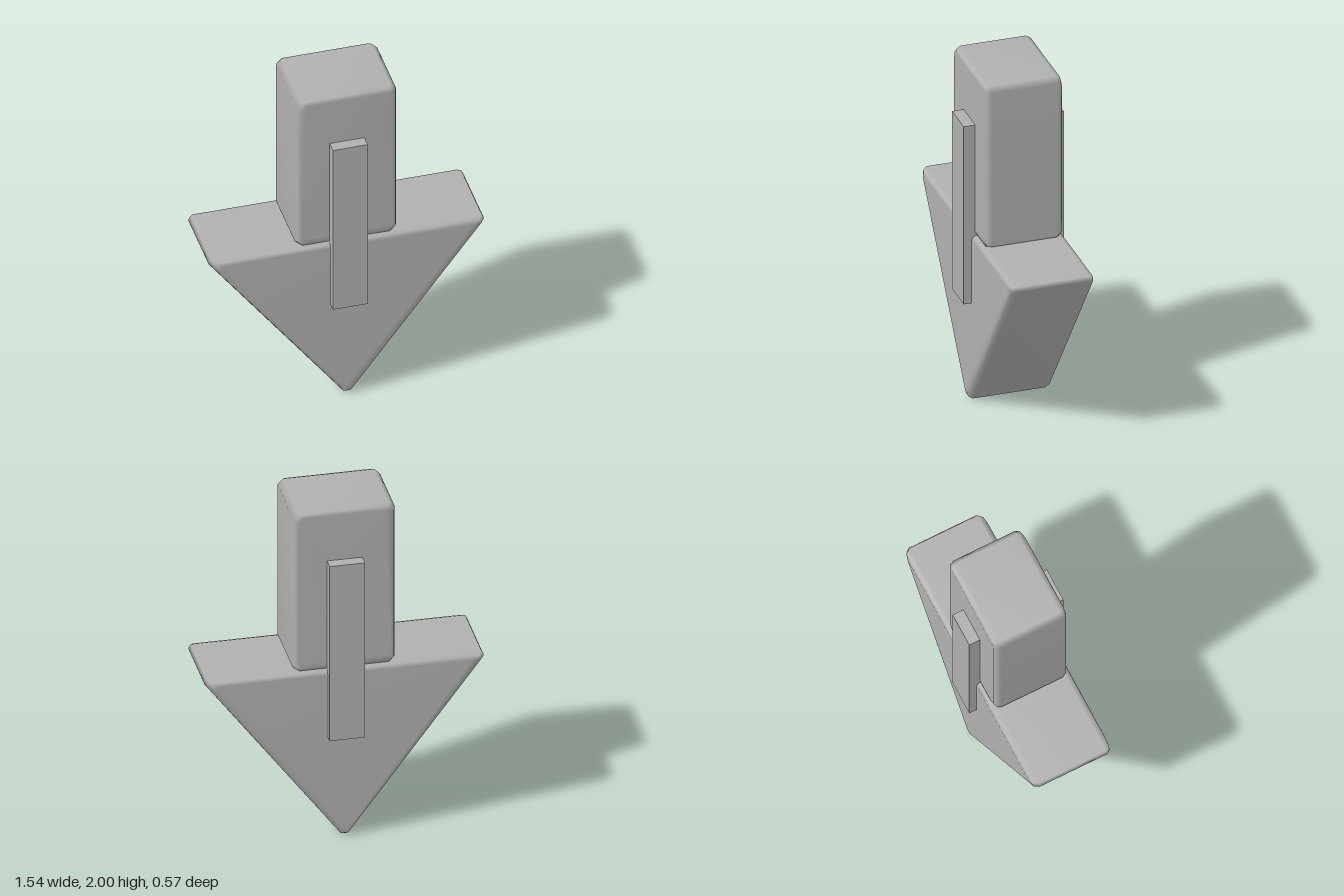
import * as THREE from 'three';

// Replaces each corner of an outline with a short cut of length c along both sides
function cutCorners(points, c) {
  const out = [];
  points.forEach((p, i) => {
    for (const q of [points.at(i - 1), points[(i + 1) % points.length]]) {
      const a = new THREE.Vector2(...p), b = new THREE.Vector2(...q);
      out.push(a.clone().add(b.sub(a).setLength(c)));
    }
  });
  return out;
}

// Convex prism along z with softened rims: the outline shrinks towards its
// centre near both ends. rx, ry are distances from the centre to the sides.
function softPrism(outline, cy, rx, ry, depth) {
  const half = [[depth, 0.03], [depth - 0.01, 0.01], [depth - 0.035, 0]];
  const loops = [...half.map(([z, d]) => [-z, d]), ...half.reverse()];
  const n = outline.length, pos = [], idx = [];
  for (const [z, d] of loops)
    for (const p of outline)
      pos.push(p.x * (1 - d / rx), cy + (p.y - cy) * (1 - d / ry), z);
  for (let k = 0; k < loops.length - 1; k++)
    for (let i = 0; i < n; i++) {
      const a = k * n + i, b = k * n + (i + 1) % n;
      idx.push(a, b, b + n, a, b + n, a + n);
    }
  const last = (loops.length - 1) * n;
  for (let i = 1; i < n - 1; i++)
    idx.push(0, i + 1, i, last, last + i, last + i + 1);
  const geo = new THREE.BufferGeometry();
  geo.setAttribute('position', new THREE.Float32BufferAttribute(pos, 3));
  geo.setIndex(idx);
  geo.computeVertexNormals();
  return geo;
}

export function createModel() {
  const group = new THREE.Group();
  group.name = 'downArrow';
  const grey = new THREE.MeshStandardMaterial({ color: 0xb0b0b0 });
  grey.name = 'grey';
  const add = (name, geo) => {
    const mesh = new THREE.Mesh(geo, grey);
    mesh.name = name;
    group.add(mesh);
    return mesh;
  };

  // Triangular head, pointing down
  const triangle = [[0, -0.024], [0.788, 1.03], [-0.788, 1.03]];
  add('arrowHead', softPrism(cutCorners(triangle, 0.03), 0.635, 0.395, 0.395, 0.24));

  // Block shaft standing on the head
  const block = [[-0.283, 1.02], [0.283, 1.02], [0.283, 2], [-0.283, 2]];
  add('arrowShaft', softPrism(cutCorners(block, 0.03), 1.51, 0.283, 0.49, 0.22));

  // Sharp-edged bar running through, standing proud on front and back
  add('centreBar', new THREE.BoxGeometry(0.195, 1.075, 0.57)).position.set(0, 1.158, 0);

  return group;
}
